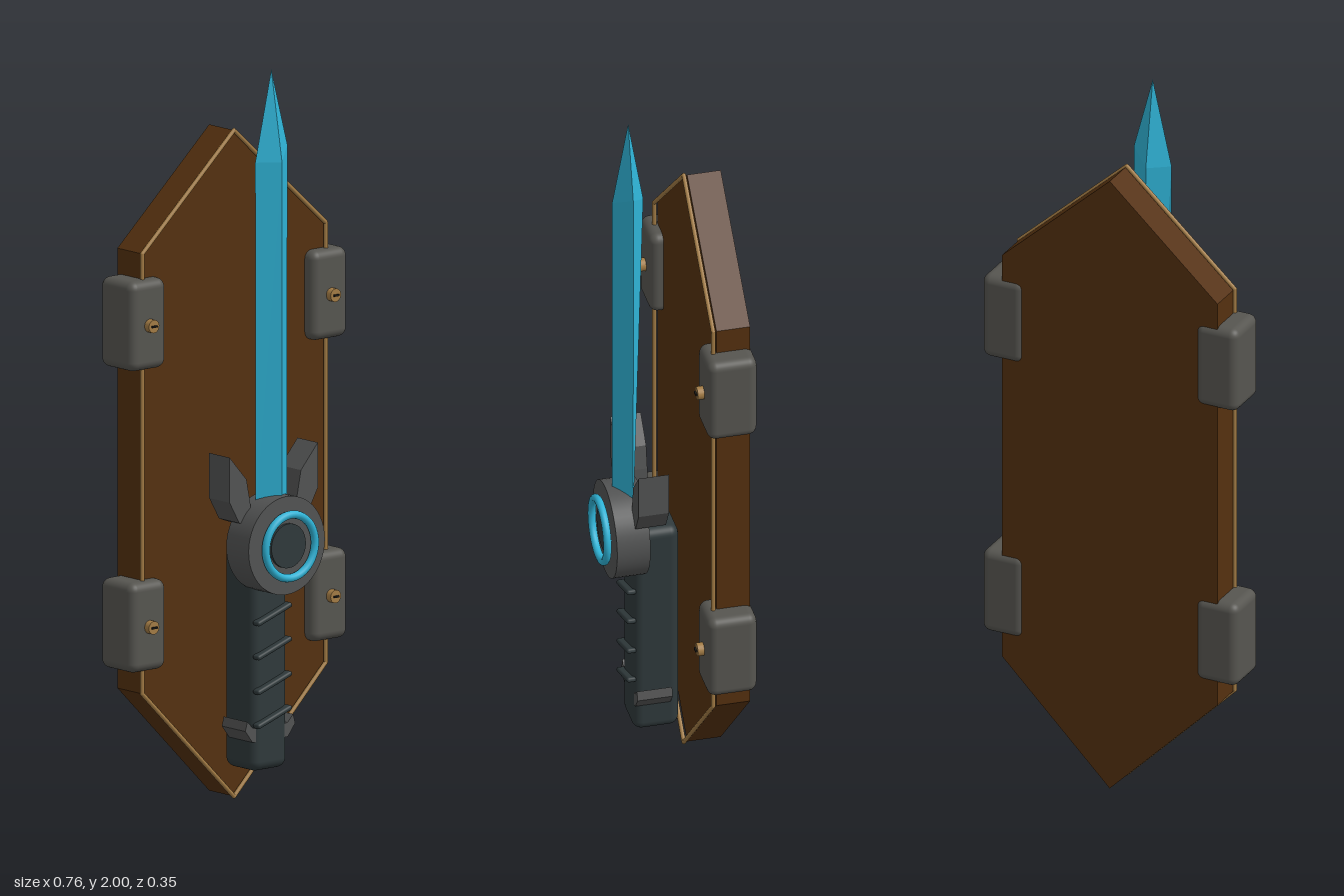
import * as THREE from 'three';
import { RoundedBoxGeometry } from 'three/addons/geometries/RoundedBoxGeometry.js';

const mat = (name, color, opts = {}) => {
  const m = new THREE.MeshStandardMaterial({ color, ...opts });
  m.name = name;
  return m;
};

export function createModel() {
  const wood = mat('dark wood', 0x54300f);
  const brass = mat('brass', 0xa37c45);
  const iron = mat('iron', 0x565550);
  const steel = mat('guard steel', 0x525353);
  const grip = mat('grip', 0x2f393b);
  const glow = mat('cyan crystal', 0x2fb3d6);
  const black = mat('slot black', 0x1c1a17);

  const root = new THREE.Group();
  root.name = 'mountedSword';
  const add = (name, geo, material, x = 0, y = 0, z = 0, parent = root) => {
    const m = new THREE.Mesh(geo, material);
    m.name = name;
    m.position.set(x, y, z);
    parent.add(m);
    return m;
  };
  // Flat slab cut from an outline, spanning z0..z1
  const slab = (pts, z0, z1) => {
    const shape = new THREE.Shape(pts.map(p => new THREE.Vector2(p[0], p[1])));
    const g = new THREE.ExtrudeGeometry(shape, { depth: z1 - z0, bevelEnabled: false });
    return g.translate(0, 0, z0);
  };

  // Wooden backboard
  const outline = [[0, 0.01], [0.32, 0.33], [0.32, 1.52], [0, 1.812], [-0.32, 1.52], [-0.32, 0.33]];
  add('backboard', slab(outline, -0.168, -0.076), wood);

  // Brass wire running around the front edge of the board
  const trim = new THREE.Group();
  trim.name = 'boardTrim';
  root.add(trim);
  const up = new THREE.Vector3(0, 1, 0);
  outline.forEach((p, i) => {
    const a = new THREE.Vector3(p[0], p[1], -0.067);
    const q = outline[(i + 1) % outline.length];
    const b = new THREE.Vector3(q[0], q[1], -0.067);
    const d = b.clone().sub(a);
    const rod = add('trimRod', new THREE.CylinderGeometry(0.006, 0.006, d.length(), 10), brass, 0, 0, 0, trim);
    rod.position.copy(a).add(b).multiplyScalar(0.5);
    rod.quaternion.setFromUnitVectors(up, d.normalize());
    add('trimCorner', new THREE.SphereGeometry(0.006, 10, 8), brass, a.x, a.y, a.z, trim);
  });

  // Four iron clamps, each with a slotted screw
  for (const side of [-1, 1]) {
    for (const y of [0.515, 1.33]) {
      const clamp = new THREE.Group();
      clamp.name = 'clamp';
      clamp.position.set(side * 0.317, y, 0);
      root.add(clamp);
      add('clampBlock', new RoundedBoxGeometry(0.125, 0.243, 0.135, 4, 0.024), iron, 0, 0, -0.1075, clamp);
      const screw = add('screw', new THREE.CylinderGeometry(0.018, 0.018, 0.022, 20), brass, 0, 0, -0.033, clamp);
      screw.rotation.x = Math.PI / 2;
      add('screwSlot', new THREE.BoxGeometry(0.018, 0.005, 0.006), black, 0, 0, -0.02, clamp);
    }
  }

  // Grip with slanted wrapping
  add('grip', new RoundedBoxGeometry(0.124, 0.63, 0.126, 4, 0.026), grip, 0, 0.42, 0.022);
  for (const y of [0.25, 0.342, 0.436, 0.528]) {
    const band = add('gripBand', new RoundedBoxGeometry(0.126, 0.014, 0.026, 2, 0.006), grip, 0, y, 0.09);
    band.rotation.z = 0.33;
  }

  // Guard disc with glowing ring and dark core
  const disc = add('guardDisc', new THREE.CylinderGeometry(0.133, 0.133, 0.091, 48), steel, 0, 0.722, 0.1025);
  disc.rotation.x = Math.PI / 2;
  add('glowRing', new THREE.TorusGeometry(0.0855, 0.011, 12, 48), glow, 0, 0.722, 0.163);
  const core = add('guardCore', new THREE.CylinderGeometry(0.06, 0.06, 0.012, 36), grip, 0, 0.722, 0.15);
  core.rotation.x = Math.PI / 2;

  // Swept guard wings and small pommel fins, mirrored
  const wing = [[0.08, 0.775], [0.12, 0.79], [0.154, 0.85], [0.154, 0.972], [0.095, 0.905], [0.082, 0.84]];
  const fin = [[0.04, 0.185], [0.062, 0.187], [0.087, 0.22], [0.08, 0.245], [0.06, 0.225], [0.04, 0.222]];
  for (const side of [-1, 1]) {
    const flip = pts => pts.map(p => [p[0] * side, p[1]]);
    add('guardWing', slab(flip(wing), 0.012, 0.095), steel);
    add('pommelFin', slab(flip(fin), -0.015, 0.081), steel);
  }

  // Crystal blade: diamond cross-sections, thicker at the shoulder, meeting at a point
  const sections = [
    { l: 0.79, r: 0.79, f: 0.79, w: 0.055, front: 0.129, back: 0.078 },
    { l: 1.755, r: 1.79, f: 1.755, w: 0.056, front: 0.129, back: 0.044 },
  ].map(s => [[s.w, s.r, 0.085], [0, s.f, s.front], [-s.w, s.l, 0.085], [0, s.f, s.back]]);
  const tip = [0, 2, 0.085];
  const pos = [];
  const [lo, hi] = sections;
  for (let i = 0; i < 4; i++) {
    const j = (i + 1) % 4;
    pos.push(lo[i], hi[i], lo[j], lo[j], hi[i], hi[j], hi[i], tip, hi[j]);
  }
  pos.push(lo[0], lo[1], lo[2], lo[0], lo[2], lo[3]);
  const blade = new THREE.BufferGeometry();
  blade.setAttribute('position', new THREE.Float32BufferAttribute(pos.flat(), 3));
  blade.computeVertexNormals();
  glow.side = THREE.DoubleSide;
  add('blade', blade, glow);

  return root;
}
